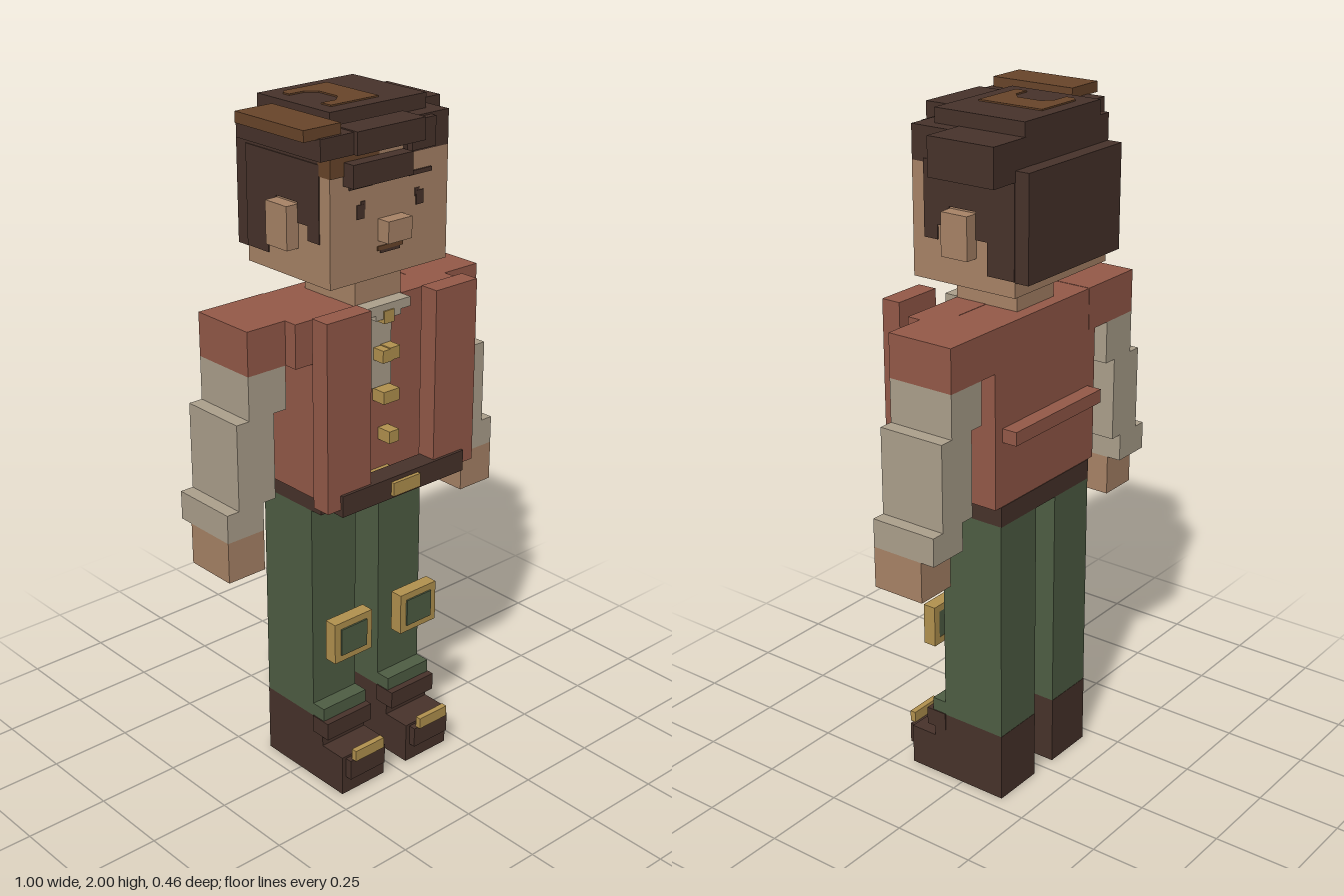
import * as THREE from 'three';

const mat = (name, color) => {
  const m = new THREE.MeshStandardMaterial({ color });
  m.name = name;
  return m;
};

export function createModel() {
  const skin = mat('skin', 0xa98467);
  const red = mat('vestRed', 0x955a49);
  const linen = mat('linen', 0xada18d);
  const green = mat('trouserGreen', 0x4f5e44);
  const dark = mat('darkBrown', 0x48332b);
  const brown = mat('lightBrown', 0x69452a);
  const gold = mat('gold', 0xb3924f);

  const model = new THREE.Group();
  model.name = 'figure';
  const part = (name) => {
    const g = new THREE.Group();
    g.name = name;
    model.add(g);
    return g;
  };

  // Box given by its limits on each axis
  const box = (parent, name, m, x0, x1, y0, y1, z0, z1) => {
    const mesh = new THREE.Mesh(new THREE.BoxGeometry(x1 - x0, y1 - y0, z1 - z0), m);
    mesh.position.set((x0 + x1) / 2, (y0 + y1) / 2, (z0 + z1) / 2);
    mesh.name = name;
    parent.add(mesh);
    return mesh;
  };
  // The same box on the left or right side
  const sided = (parent, s, name, m, x0, x1, ...rest) =>
    s > 0 ? box(parent, name, m, x0, x1, ...rest) : box(parent, name, m, -x1, -x0, ...rest);

  for (const s of [1, -1]) {
    const side = s > 0 ? 'left' : 'right';

    // Leg, boot and knee patch
    const leg = part(side + 'Leg');
    sided(leg, s, 'trouserLeg', green, 0.045, 0.208, 0.21, 0.88, -0.145, 0.06);
    sided(leg, s, 'trouserCuff', green, 0.045, 0.208, 0.21, 0.252, 0.06, 0.106);
    sided(leg, s, 'boot', dark, 0.045, 0.208, 0, 0.21, -0.146, 0.1);
    sided(leg, s, 'bootCuff', dark, 0.042, 0.211, 0.158, 0.212, 0.06, 0.127);
    sided(leg, s, 'bootToe', dark, 0.045, 0.208, 0, 0.125, 0.1, 0.187);
    sided(leg, s, 'toePlate', dark, 0.06, 0.194, 0.055, 0.118, 0.187, 0.208);
    sided(leg, s, 'bootBuckle', gold, 0.073, 0.182, 0.118, 0.152, 0.2, 0.218);

    const frame = new THREE.Shape();
    frame.moveTo(-0.07, -0.063).lineTo(0.07, -0.063).lineTo(0.07, 0.063).lineTo(-0.07, 0.063);
    const hole = new THREE.Path();
    hole.moveTo(-0.048, -0.042).lineTo(-0.048, 0.042).lineTo(0.048, 0.042).lineTo(0.048, -0.042);
    frame.holes.push(hole);
    const knee = new THREE.Mesh(
      new THREE.ExtrudeGeometry(frame, { depth: 0.04, bevelEnabled: false }), gold);
    knee.name = 'kneeFrame';
    knee.position.set(s * 0.127, 0.482, 0.105);
    leg.add(knee);
    sided(leg, s, 'kneePatch', green, 0.079, 0.175, 0.44, 0.524, 0.106, 0.15);

    // Stepped arm
    const arm = part(side + 'Arm');
    sided(arm, s, 'shoulder', red, 0.2, 0.418, 1.335, 1.46, -0.145, 0.06);
    sided(arm, s, 'upperSleeve', linen, 0.292, 0.418, 1.21, 1.335, -0.145, 0.06);
    sided(arm, s, 'lowerSleeve', linen, 0.335, 0.46, 0.96, 1.21, -0.145, 0.06);
    sided(arm, s, 'sleeveCuff', linen, 0.377, 0.5, 0.877, 0.96, -0.145, 0.06);
    sided(arm, s, 'hand', skin, 0.377, 0.5, 0.757, 0.877, -0.102, 0.06);
  }

  // Torso and vest
  const torso = part('torso');
  box(torso, 'vestBody', red, -0.232, 0.232, 0.94, 1.459, -0.144, 0.1);
  box(torso, 'vestYoke', red, -0.291, 0.291, 1.335, 1.46, 0, 0.101);
  for (const s of [1, -1])
    sided(torso, s, 'vestPanel', red, 0.118, 0.272, 0.942, 1.485, 0.146, 0.205);
  box(torso, 'backStrap', red, -0.2, 0.2, 1.13, 1.17, -0.19, -0.144);
  box(torso, 'shirtFront', linen, -0.043, 0.043, 1.21, 1.43, 0.1, 0.108);
  box(torso, 'collar', linen, -0.045, 0.045, 1.42, 1.462, 0.1, 0.143);
  for (const s of [1, -1])
    sided(torso, s, 'collarTip', linen, 0.045, 0.08, 1.435, 1.462, 0.1, 0.143);
  const buttons = [[0, 1.425], [-0.004, 1.312], [0.022, 1.315], [0, 1.19], [0.022, 1.19], [0.022, 1.066]];
  for (const [x, y] of buttons)
    box(torso, 'button', gold, x - 0.018, x + 0.018, y - 0.018, y + 0.018, 0.1, 0.147);

  // Belt
  const belt = part('belt');
  box(belt, 'waistband', dark, -0.208, 0.208, 0.88, 0.94, -0.146, 0.1);
  box(belt, 'frontBelt', dark, -0.227, 0.227, 0.922, 0.985, 0.15, 0.214);
  box(belt, 'buckle', gold, -0.05, 0.05, 0.932, 0.972, 0.2, 0.225);
  box(belt, 'beltDrop', gold, -0.04, 0.04, 0.88, 0.96, 0.1, 0.146);

  // Head and face
  const head = part('head');
  box(head, 'neck', skin, -0.083, 0.083, 1.45, 1.545, -0.105, 0.1);
  box(head, 'skull', skin, -0.208, 0.208, 1.545, 1.86, -0.19, 0.145);
  box(head, 'nose', skin, -0.042, 0.042, 1.645, 1.705, 0.145, 0.186);
  box(head, 'mouth', dark, -0.035, 0.035, 1.61, 1.618, 0.145, 0.148);
  box(head, 'lip', brown, -0.045, 0.045, 1.618, 1.63, 0.145, 0.148);
  for (const s of [1, -1]) {
    sided(head, s, 'ear', skin, 0.208, 0.248, 1.63, 1.75, -0.066, 0.02);
    sided(head, s, 'eye', dark, 0.092, 0.118, 1.717, 1.755, 0.145, 0.148);
    sided(head, s, 'eyeCorner', dark, 0.088, 0.103, 1.74, 1.763, 0.145, 0.147);
    sided(head, s, 'eyebrow', dark, 0.065, 0.145, 1.8, 1.812, 0.145, 0.15);
  }

  // Hair: crown, back, stepped sides and locks
  const hair = part('hair');
  box(hair, 'crown', dark, -0.208, 0.208, 1.86, 1.955, -0.19, 0.145);
  box(hair, 'backHair', dark, -0.208, 0.208, 1.587, 1.88, -0.233, -0.188);
  const steps = [[-0.19, -0.102, 1.59], [-0.102, -0.066, 1.68], [-0.066, 0.02, 1.755],
    [0.02, 0.06, 1.7], [0.06, 0.105, 1.66]];
  for (const s of [1, -1])
    for (const [z0, z1, y] of steps)
      sided(hair, s, 'sideHair', dark, 0.205, 0.211, y, 1.87, z0, z1);
  box(hair, 'forehead', skin, -0.043, 0.043, 1.859, 1.957, 0.1, 0.148);
  box(hair, 'lightParting', brown, -0.21, -0.043, 1.84, 1.957, 0.1, 0.149);
  box(hair, 'topHair', dark, -0.168, 0.168, 1.955, 1.996, -0.19, 0.1);
  box(hair, 'leftTuft', dark, 0.165, 0.298, 1.85, 1.957, -0.191, 0.02);
  box(hair, 'leftLock', dark, 0.06, 0.145, 1.87, 1.95, 0.145, 0.163);
  box(hair, 'foreheadLock', dark, -0.164, 0.043, 1.815, 1.877, 0.145, 0.186);
  box(hair, 'fringe', dark, -0.19, 0.043, 1.915, 1.975, 0.143, 0.23);
  box(hair, 'rightTuft', dark, -0.3, -0.18, 1.915, 1.972, -0.114, 0.217);
  box(hair, 'rightTip', brown, -0.345, -0.224, 1.97, 2.0, -0.06, 0.207);

  // Curved light streak on the crown
  const streak = new THREE.Shape();
  streak.moveTo(-0.125, -0.055).lineTo(0.04, -0.055).lineTo(0.04, 0.15).lineTo(-0.11, 0.15);
  streak.lineTo(-0.125, 0.135).lineTo(-0.125, 0.11).lineTo(-0.075, 0.11).lineTo(-0.045, 0.085);
  streak.lineTo(-0.045, 0.01).lineTo(-0.075, -0.018).lineTo(-0.125, -0.018);
  const streakMesh = new THREE.Mesh(
    new THREE.ExtrudeGeometry(streak, { depth: 0.004, bevelEnabled: false }), brown);
  streakMesh.name = 'hairStreak';
  streakMesh.rotation.x = -Math.PI / 2;
  streakMesh.position.y = 1.996;
  hair.add(streakMesh);

  return model;
}
